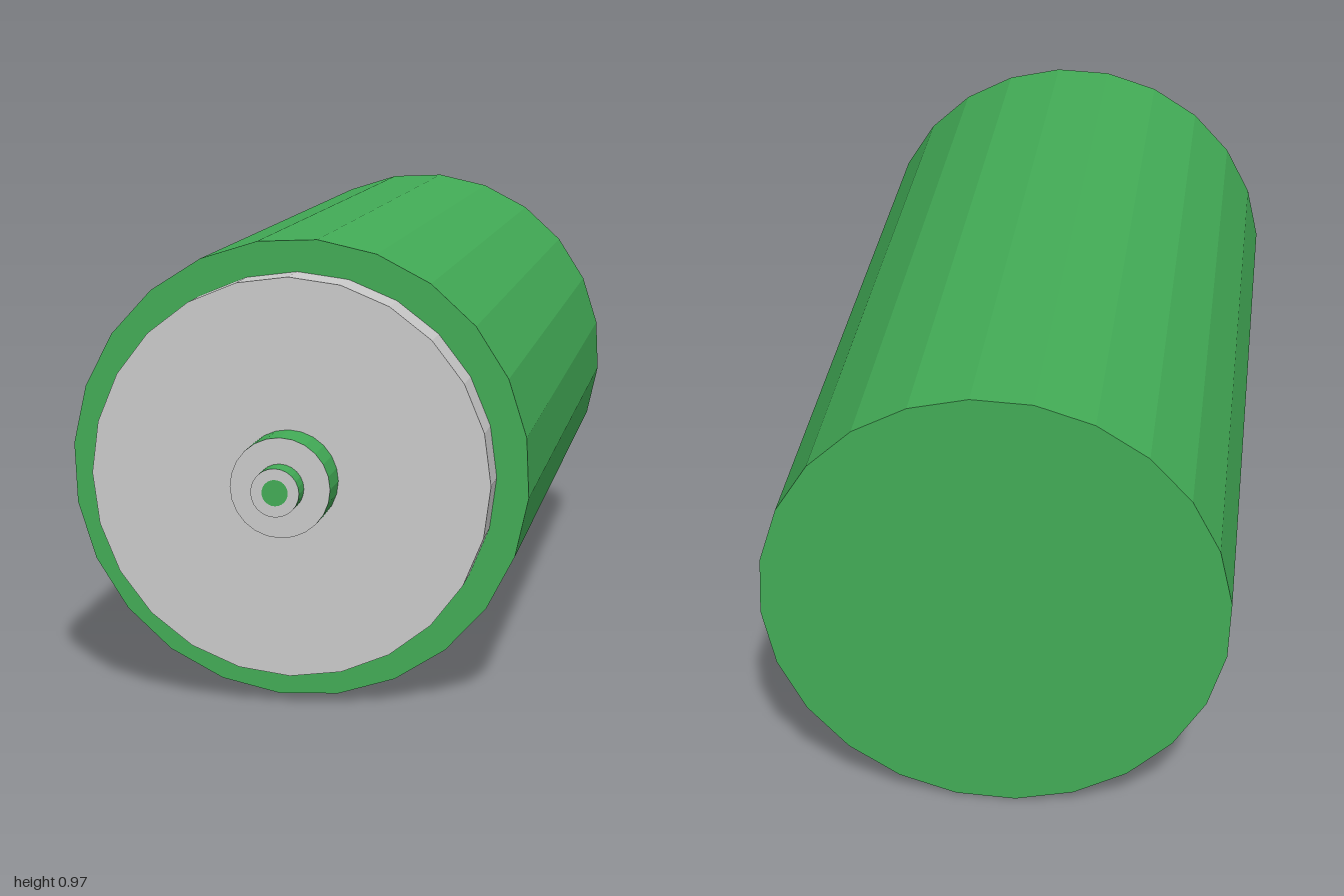
import * as THREE from 'three';

const AXIS_Y = 0.49;
const green = new THREE.MeshStandardMaterial({ color: 0x43ad57, flatShading: true });
const grey = new THREE.MeshStandardMaterial({ color: 0xcccccc, flatShading: true });

// Open drum wall along z, from z0 to z1
function wall(name, radius, z0, z1, material, sides = 24, turn = 0) {
  const geo = new THREE.CylinderGeometry(radius, radius, z1 - z0, sides, 1, true, turn);
  geo.rotateX(Math.PI / 2);
  const mesh = new THREE.Mesh(geo, material);
  mesh.name = name;
  mesh.position.set(0, AXIS_Y, (z0 + z1) / 2);
  return mesh;
}

// Flat end facing +z (or -z when back is true); inner = 0 gives a full disc
function face(name, inner, outer, z, material, sides = 24, turn = 0, back = false) {
  const geo = inner > 0
    ? new THREE.RingGeometry(inner, outer, sides, 1, turn)
    : new THREE.CircleGeometry(outer, sides, turn);
  if (back) geo.rotateX(Math.PI);
  const mesh = new THREE.Mesh(geo, material);
  mesh.name = name;
  mesh.position.set(0, AXIS_Y, z);
  return mesh;
}

export function createModel() {
  const model = new THREE.Group();
  model.name = 'canister';
  const turn = THREE.MathUtils.degToRad(-5);

  // Main body
  model.add(
    wall('bodyWall', 0.489, -1, 0.765, green, 24, turn),
    face('bodyBack', 0, 0.489, -1, green, 24, -turn, true),
    face('bodyShoulder', 0.4, 0.489, 0.765, green, 24, turn),
  );

  // Raised end plate
  model.add(
    wall('plateWall', 0.42, 0.765, 0.86, grey),
    face('plateFace', 0.1, 0.42, 0.86, grey),
  );

  // Stepped terminal with a small insert at its tip
  model.add(
    wall('collarWall', 0.104, 0.86, 0.95, green),
    face('collarFace', 0.045, 0.104, 0.95, grey),
    wall('tipWall', 0.05, 0.95, 1, green),
    face('tipFace', 0.027, 0.05, 1, grey),
    face('tipInsert', 0, 0.027, 1, green),
  );

  return model;
}
